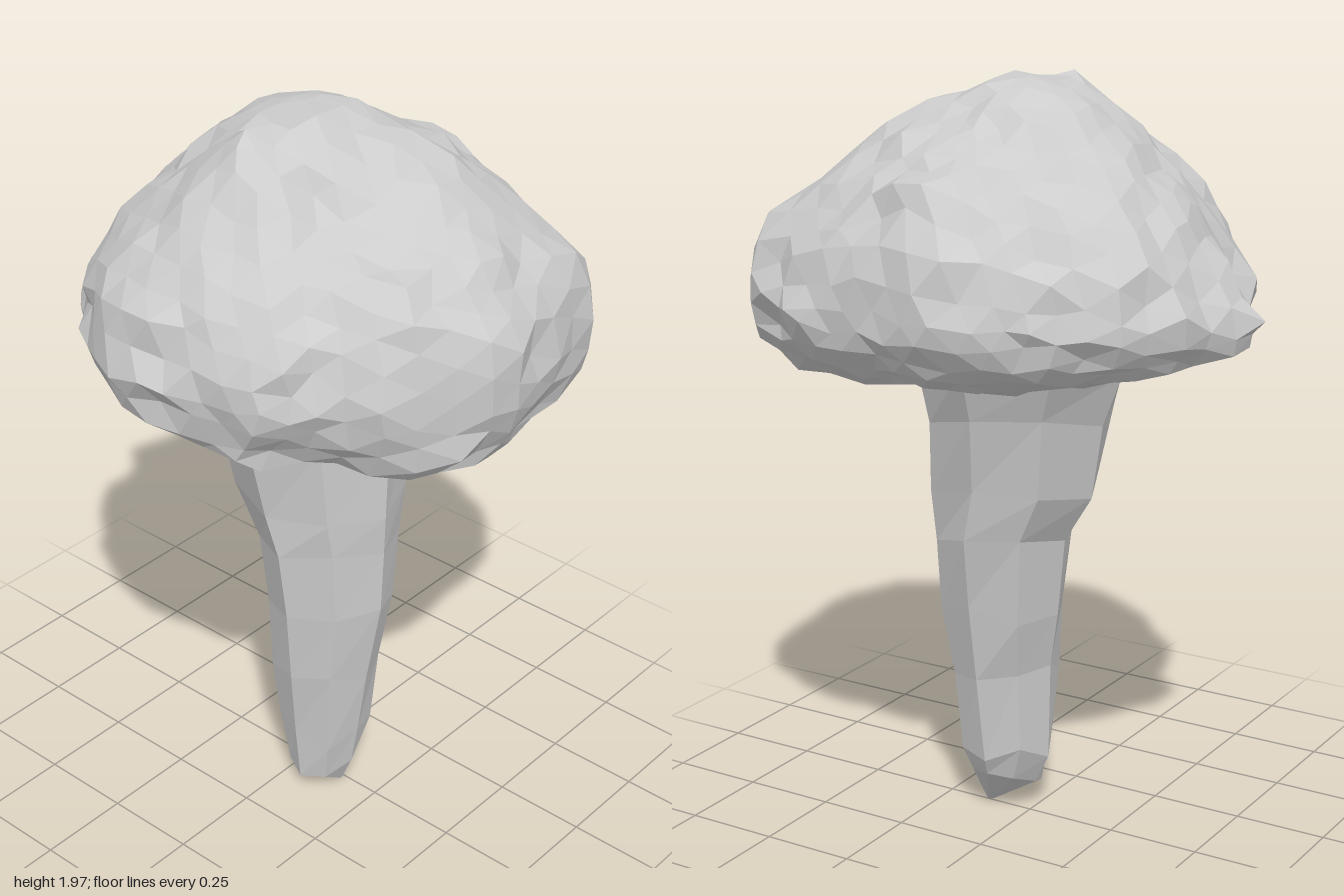
import * as THREE from 'three';
import { mergeVertices } from 'three/addons/utils/BufferGeometryUtils.js';

const { clamp, lerp } = THREE.MathUtils;
const bell = (d2, width) => Math.exp(-d2 / (width * width));

// Small seeded generator for the irregular facets
function seeded(seed) {
  return () => {
    seed = (seed * 16807) % 2147483647;
    return (seed / 2147483647) * 2 - 1;
  };
}

// Weld a built-in geometry so each corner can be moved once
function welded(geometry) {
  geometry.deleteAttribute('uv');
  geometry.deleteAttribute('normal');
  return mergeVertices(geometry, 1e-4);
}

function moveVertices(geometry, rule) {
  const pos = geometry.attributes.position;
  const v = new THREE.Vector3();
  for (let i = 0; i < pos.count; i++) {
    rule(v.fromBufferAttribute(pos, i));
    pos.setXYZ(i, v.x, v.y, v.z);
  }
  geometry.computeVertexNormals();
  return geometry;
}

// Rim radius every 15 degrees, from +x towards +z
const RIM = [0.6, 0.59, 0.64, 0.65, 0.69, 0.66, 0.66, 0.645, 0.62, 0.55, 0.61, 0.58,
  0.6, 0.58, 0.57, 0.57, 0.56, 0.54, 0.57, 0.62, 0.62, 0.61, 0.6, 0.6];

// Cap profiles from crown to underside: [share of rim radius, height]
const FRONT = [[0, 1.98], [0.22, 1.95], [0.42, 1.89], [0.62, 1.81], [0.81, 1.71], [0.95, 1.6], [1, 1.45],
  [0.98, 1.33], [0.88, 1.23], [0.7, 1.2], [0.55, 1.26], [0.4, 1.35], [0, 1.4]];
const SIDE = [[0, 1.98], [0.2, 1.95], [0.4, 1.88], [0.6, 1.79], [0.79, 1.7], [0.93, 1.6], [1, 1.46],
  [0.94, 1.35], [0.83, 1.29], [0.67, 1.26], [0.53, 1.3], [0.4, 1.37], [0, 1.42]];
const BACK = [[0, 1.98], [0.2, 1.95], [0.4, 1.88], [0.6, 1.78], [0.78, 1.67], [0.92, 1.54], [1, 1.42],
  [0.95, 1.35], [0.82, 1.31], [0.65, 1.31], [0.5, 1.36], [0.37, 1.42], [0, 1.45]];

function sample(list, t) {
  const i = Math.min(Math.floor(t), list.length - 2);
  return [0, 1].map((k) => lerp(list[i][k], list[i + 1][k], t - i));
}

// Lumpy cap: an even faceted ball reshaped by the profiles and the rim outline
function capGeometry() {
  const rand = seeded(71);
  return moveVertices(welded(new THREE.IcosahedronGeometry(1, 7)), (v) => {
    const angle = (Math.atan2(v.z, v.x) + Math.PI * 2) % (Math.PI * 2);
    const t = (Math.acos(clamp(v.y, -1, 1)) / Math.PI) * (FRONT.length - 1);
    const a = (angle / (Math.PI * 2)) * RIM.length;
    const atRim = bell((t - 6.3) ** 2, 1.6);
    // Outline with a pointed flap at the back and a corner at the front left
    const rim = lerp(RIM[Math.floor(a) % 24], RIM[(Math.floor(a) + 1) % 24], a % 1)
      + atRim * (0.1 * bell((a - 18.1) ** 2, 0.5) + 0.05 * bell((a - 3.5) ** 2, 0.6));
    const facing = Math.sin(angle);
    const side = sample(SIDE, t);
    const end = sample(facing > 0 ? FRONT : BACK, t);
    const [share, height] = [0, 1].map((k) => lerp(side[k], end[k], facing * facing));
    const lobes = 0.012 * Math.sin(angle * 7 + t) * Math.sin(t * 0.9);
    const r = rim * share + share * (lobes + rand() * 0.015);
    v.set(r * Math.cos(angle) + rand() * 0.01, height + rand() * 0.014, r * Math.sin(angle) + rand() * 0.01);
    // Knob on the crown, swelling on the left shoulder and hollow in the front slope
    if (t < 6) {
      v.y += 0.08 * bell((v.x + 0.25) ** 2 + v.z ** 2, 0.09)
        + 0.05 * bell((v.x - 0.46) ** 2 + (v.z - 0.05) ** 2, 0.1)
        - 0.06 * bell((v.x + 0.15) ** 2 + (v.z - 0.3) ** 2, 0.14);
    }
    v.set(clamp(v.x, -0.6, 0.6), Math.min(v.y, 2), clamp(v.z, -0.66, 0.66));
  });
}

// Stem sections from the top down: [height, min x, max x, min z, max z]
const STEM = [
  [1.46, -0.33, 0.36, -0.34, 0.34],
  [1.28, -0.26, 0.3, -0.27, 0.29],
  [1.12, -0.23, 0.265, -0.22, 0.255],
  [0.92, -0.2, 0.22, -0.18, 0.255],
  [0.8, -0.18, 0.205, -0.11, 0.25],
  [0.6, -0.165, 0.175, -0.085, 0.25],
  [0.4, -0.15, 0.135, -0.06, 0.22],
  [0.18, -0.13, 0.11, -0.05, 0.195],
  [0.08, -0.115, 0.09, -0.01, 0.17],
  [0, -0.02, 0, 0.12, 0.14],
];

function stemGeometry() {
  const rand = seeded(12);
  const rows = STEM.length - 1;
  const tube = welded(new THREE.CylinderGeometry(1, 1, 1, 8, rows));
  return moveVertices(tube, (v) => {
    const row = Math.round((0.5 - v.y) * rows);
    const [y, x0, x1, z0, z1] = STEM[row];
    const wobble = 1.01 + rand() * 0.035;
    // The cut end slants up towards the left
    const lift = row === rows - 1 ? v.x * 0.04 : row > 0 && row < rows ? rand() * 0.03 : 0;
    v.set((x0 + x1) / 2 + (v.x * wobble * (x1 - x0)) / 2, y + lift,
      (z0 + z1) / 2 + (v.z * wobble * (z1 - z0)) / 2);
  });
}

export function createModel() {
  const model = new THREE.Group();
  model.name = 'mushroom';
  const material = new THREE.MeshStandardMaterial({ color: 0xcccccc, flatShading: true });
  const cap = new THREE.Mesh(capGeometry(), material);
  cap.name = 'cap';
  const stem = new THREE.Mesh(stemGeometry(), material);
  stem.name = 'stem';
  model.add(cap, stem);
  return model;
}
